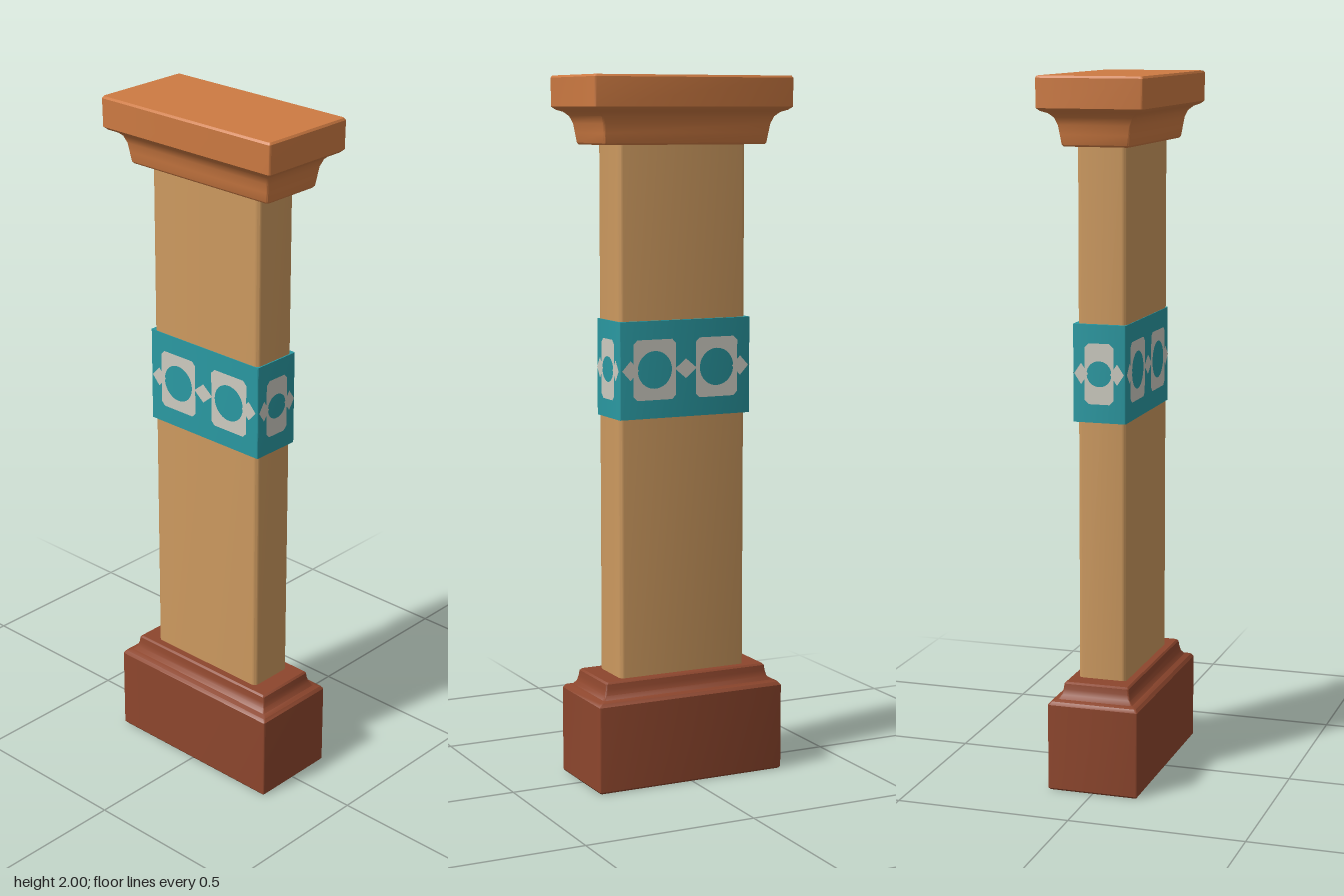
import * as THREE from 'three';
import { mergeGeometries, toCreasedNormals } from 'three/addons/utils/BufferGeometryUtils.js';

const mat = (name, color, side = THREE.FrontSide) => {
  const m = new THREE.MeshStandardMaterial({ color, side });
  m.name = name;
  return m;
};

// Rounded rectangle ring, counter-clockwise seen from above
function ring(hx, hz, y, r) {
  const pts = [];
  const corners = [[1, -1, 0], [-1, -1, 1], [-1, 1, 2], [1, 1, 3]];
  for (const [sx, sz, q] of corners) {
    for (let i = 0; i <= 3; i++) {
      const a = (q + i / 3) * Math.PI / 2;
      pts.push([sx * (hx - r) + r * Math.cos(a), y, sz * (hz - r) - r * Math.sin(a)]);
    }
  }
  return pts;
}

// Closed solid through rings given as [halfWidth, halfDepth, y]
function loft(sections, r) {
  const rings = sections.map(([hx, hz, y]) => ring(hx, hz, y, r));
  const n = rings[0].length, pos = [], last = rings.length - 1;
  const tri = (a, b, c) => pos.push(...a, ...b, ...c);
  for (let k = 0; k < last; k++) {
    for (let i = 0; i < n; i++) {
      const j = (i + 1) % n;
      tri(rings[k][i], rings[k][j], rings[k + 1][j]);
      tri(rings[k][i], rings[k + 1][j], rings[k + 1][i]);
    }
  }
  for (let i = 1; i < n - 1; i++) {
    tri(rings[last][0], rings[last][i], rings[last][i + 1]);
    tri(rings[0][0], rings[0][i + 1], rings[0][i]);
  }
  const g = new THREE.BufferGeometry();
  g.setAttribute('position', new THREE.Float32BufferAttribute(pos, 3));
  g.computeVertexNormals();
  return toCreasedNormals(g, 0.6);
}

// Pale panel around an open disc
function panel(x, w, h, radius) {
  const s = new THREE.Shape();
  const a = w / 2, b = h / 2, c = 0.012;
  s.moveTo(x - a + c, -b).lineTo(x + a - c, -b).lineTo(x + a, -b + c).lineTo(x + a, b - c);
  s.lineTo(x + a - c, b).lineTo(x - a + c, b).lineTo(x - a, b - c).lineTo(x - a, -b + c);
  s.closePath();
  s.holes.push(new THREE.Path().absarc(0 + x, 0, radius, 0, Math.PI * 2, true));
  return s;
}

// Small pale lozenge linking the panels
function lozenge(x, w, h) {
  const s = new THREE.Shape();
  s.moveTo(x - w, 0).lineTo(x, -h).lineTo(x + w, 0).lineTo(x, h).closePath();
  return s;
}

export function createModel() {
  const model = new THREE.Group();
  model.name = 'pillar';
  const terracotta = mat('terracotta', 0xcd7a42);
  const brick = mat('brick red', 0x8d462d);
  const sand = mat('sand', 0xcc995f);
  const teal = mat('teal', 0x2a99a2);
  const pale = mat('pale grey', 0xcccac0, THREE.DoubleSide);

  const add = (name, geometry, material, parent = model) => {
    const m = new THREE.Mesh(geometry, material);
    m.name = name;
    parent.add(m);
    return m;
  };

  // Plinth with a stepped cove on top
  const foot = [[0.286, 0], [0.29, 0.005], [0.29, 0.25], [0.283, 0.259], [0.268, 0.263],
    [0.259, 0.274], [0.255, 0.29], [0.253, 0.305], [0.248, 0.31]];
  add('base', loft(foot.map(([x, y]) => [x, x - 0.158, y]), 0.005), brick);

  // Shaft with softened corners
  add('shaft', loft([[0.197, 0.07, 0.3], [0.197, 0.07, 1.82]], 0.013), sand);

  // Capital flaring out to a flat slab
  const crown = [[0.247, 1.81], [0.251, 1.815], [0.255, 1.842], [0.259, 1.868], [0.267, 1.888],
    [0.28, 1.9], [0.296, 1.906], [0.305, 1.914], [0.306, 1.994], [0.302, 2]];
  add('capital', loft(crown.map(([x, y]) => [x, x - 0.155, y]), 0.006), terracotta);

  // Ornamental band around the shaft
  const band = new THREE.Group();
  band.name = 'ornamentalBand';
  band.position.set(-0.003, 1.187, -0.004);
  model.add(band);
  const hx = 0.204, hz = 0.076;
  add('bandBody', loft([[hx, hz, -0.137], [hx, hz, 0.137]], 0.003), teal, band);

  const wide = [panel(-0.097, 0.132, 0.17, 0.053), panel(0.097, 0.132, 0.17, 0.053),
    lozenge(0, 0.034, 0.028), lozenge(-0.172, 0.026, 0.028), lozenge(0.172, 0.026, 0.028)];
  const narrow = [panel(0, 0.084, 0.17, 0.036), lozenge(-0.052, 0.02, 0.03), lozenge(0.052, 0.02, 0.03)];
  for (let i = 0; i < 4; i++) {
    const onSide = i % 2 === 1;
    const parts = (onSide ? narrow : wide).map((s) => new THREE.ShapeGeometry(s, 20));
    const g = mergeGeometries(parts);
    g.translate(0, 0, (onSide ? hx : hz) + 0.002);
    const names = ['bandPatternFront', 'bandPatternLeft', 'bandPatternBack', 'bandPatternRight'];
    add(names[i], g, pale, band).rotation.y = i * Math.PI / 2;
  }
  return model;
}
